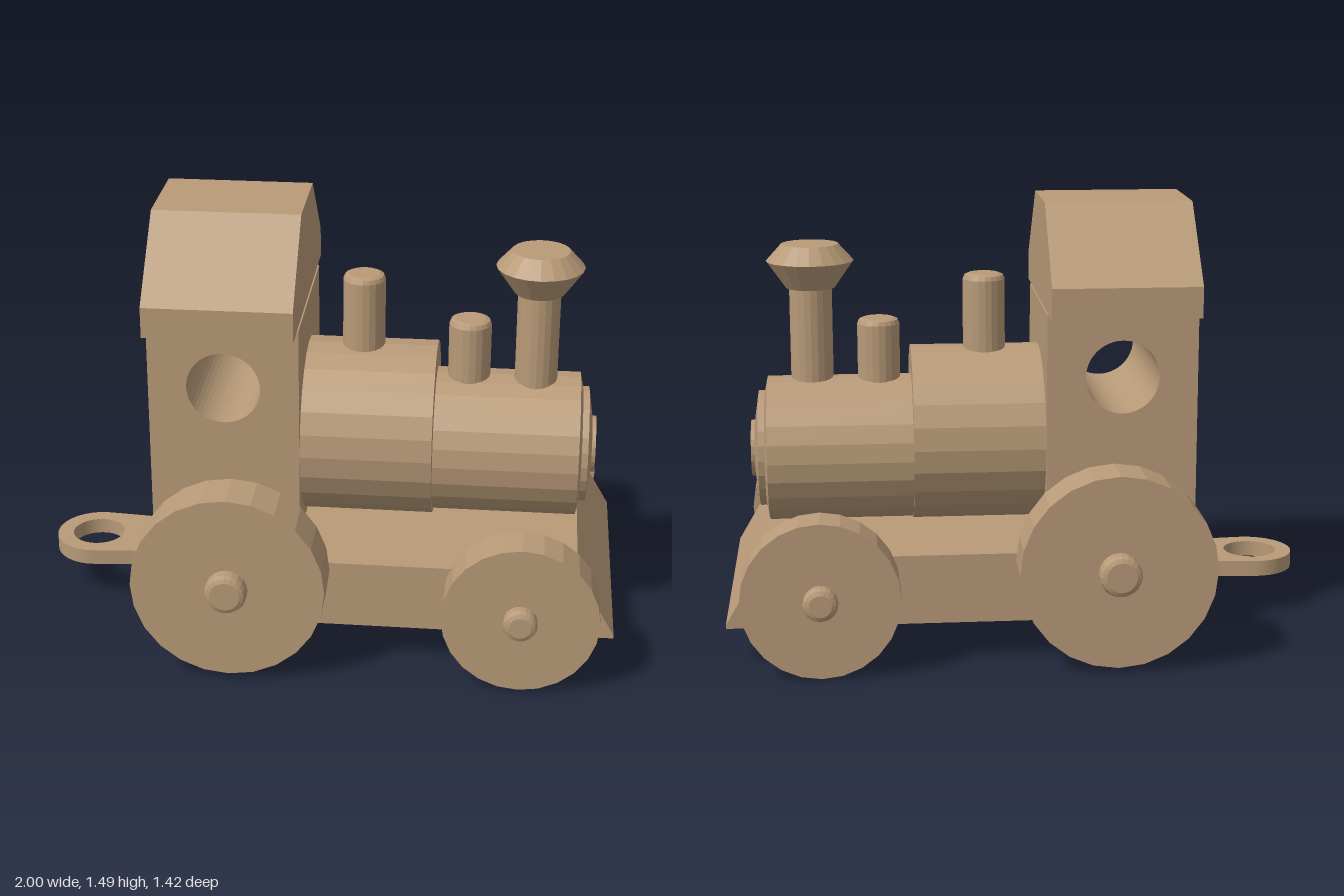
import * as THREE from 'three';

const wood = new THREE.MeshStandardMaterial({ color: 0xb89a78 });
wood.name = 'wood';

export function createModel() {
  const model = new THREE.Group();
  model.name = 'toyTrain';

  const add = (name, geometry, parent = model) => {
    const flat = geometry.index ? geometry.toNonIndexed() : geometry;
    flat.computeVertexNormals();
    const mesh = new THREE.Mesh(flat, wood);
    mesh.name = name;
    parent.add(mesh);
    return mesh;
  };

  // Turned part: [radius, height] pairs from bottom to top
  const turned = (profile, sides) =>
    new THREE.LatheGeometry(profile.map(([r, h]) => new THREE.Vector2(r, h)), sides);

  const polygon = (points) => new THREE.Shape(points.map(([x, y]) => new THREE.Vector2(x, y)));

  const circleHole = (shape, x, y, r) => {
    const hole = new THREE.Path();
    hole.absarc(x, y, r, 0, Math.PI * 2, true);
    shape.holes.push(hole);
  };

  const extrude = (shape, depth) =>
    new THREE.ExtrudeGeometry(shape, { depth, bevelEnabled: false, curveSegments: 24 });

  // Chassis with sloped nose
  const chassis = polygon([[-0.59, 0.135], [1, 0.135], [1, 0.147], [0.87, 0.37], [-0.59, 0.37]]);
  add('chassis', extrude(chassis, 0.98).translate(0, 0, -0.49));

  // Cab with a round window right through it
  const cab = polygon([[-0.59, 0.37], [-0.08, 0.37], [-0.08, 1.135], [-0.59, 1.135]]);
  circleHole(cab, -0.335, 0.92, 0.125);
  add('cab', extrude(cab, 0.63).translate(0, 0, -0.31));

  // Roof, profile drawn across the train and extruded along it
  const roof = polygon([
    [-0.418, 1.135], [0.418, 1.135], [0.418, 1.24],
    [0.168, 1.49], [-0.168, 1.49], [-0.418, 1.24],
  ]);
  add('roof', extrude(roof, 0.5).rotateY(Math.PI / 2).translate(-0.585, 0, 0.007));

  // Boiler barrels, lying along x
  add('rearBoiler', turned([[0, -0.08], [0.303, -0.08], [0.303, 0.365], [0, 0.365]], 24)
    .rotateZ(-Math.PI / 2).translate(0, 0.672, 0.01));
  add('frontBoiler', turned([
    [0, 0.36], [0.25, 0.36], [0.25, 0.86], [0.2, 0.87], [0.2, 0.892],
    [0.098, 0.907], [0.098, 0.92], [0, 0.92],
  ], 24).rotateZ(-Math.PI / 2).translate(0, 0.625, 0));

  // Domes with softened tops
  const peg = (r, low, high, bevel) => turned([
    [0, low], [r, low], [r, high - bevel], [r - bevel * 0.3, high - bevel * 0.3],
    [r - bevel, high], [0, high],
  ], 20);
  add('rearDome', peg(0.073, 0.92, 1.23, 0.02).translate(0.11, 0, 0));
  add('frontDome', peg(0.073, 0.83, 1.08, 0.02).translate(0.475, 0, 0));

  // Chimney with flared cap
  add('chimney', turned([
    [0, 0.82], [0.073, 0.82], [0.073, 1.187], [0.085, 1.187],
    [0.15, 1.28], [0.098, 1.337], [0, 1.337],
  ], 20).translate(0.705, 0, 0.01));

  // Wheels and axle pegs
  const wheels = [
    { name: 'rear', x: -0.285, y: 0.345, r: 0.325, inner: 0.49, outer: 0.657, hub: 0.07, tip: 0.71 },
    { name: 'front', x: 0.685, y: 0.267, r: 0.262, inner: 0.498, outer: 0.636, hub: 0.057, tip: 0.682 },
  ];
  for (const w of wheels) {
    for (const side of [1, -1]) {
      const group = new THREE.Group();
      group.name = w.name + (side > 0 ? 'LeftWheel' : 'RightWheel');
      group.position.set(w.x, w.y, 0);
      group.rotation.x = side * Math.PI / 2;
      model.add(group);
      add('disc', turned([[0, w.inner], [w.r, w.inner], [w.r, w.outer], [0, w.outer]], 24), group);
      add('axlePeg', peg(w.hub, w.inner - 0.05, w.tip, 0.02), group);
    }
  }

  // Rear coupling tongue with a ring hole
  const tongue = new THREE.Shape();
  tongue.moveTo(-0.58, -0.127);
  tongue.lineTo(-0.58, 0.127);
  tongue.absarc(-0.852, 0, 0.148, Math.PI / 2 - 0.08, Math.PI * 1.5 + 0.08, false);
  tongue.closePath();
  circleHole(tongue, -0.852, 0, 0.092);
  add('coupling', extrude(tongue, 0.055).rotateX(-Math.PI / 2).translate(0, 0.145, 0.031));

  return model;
}
